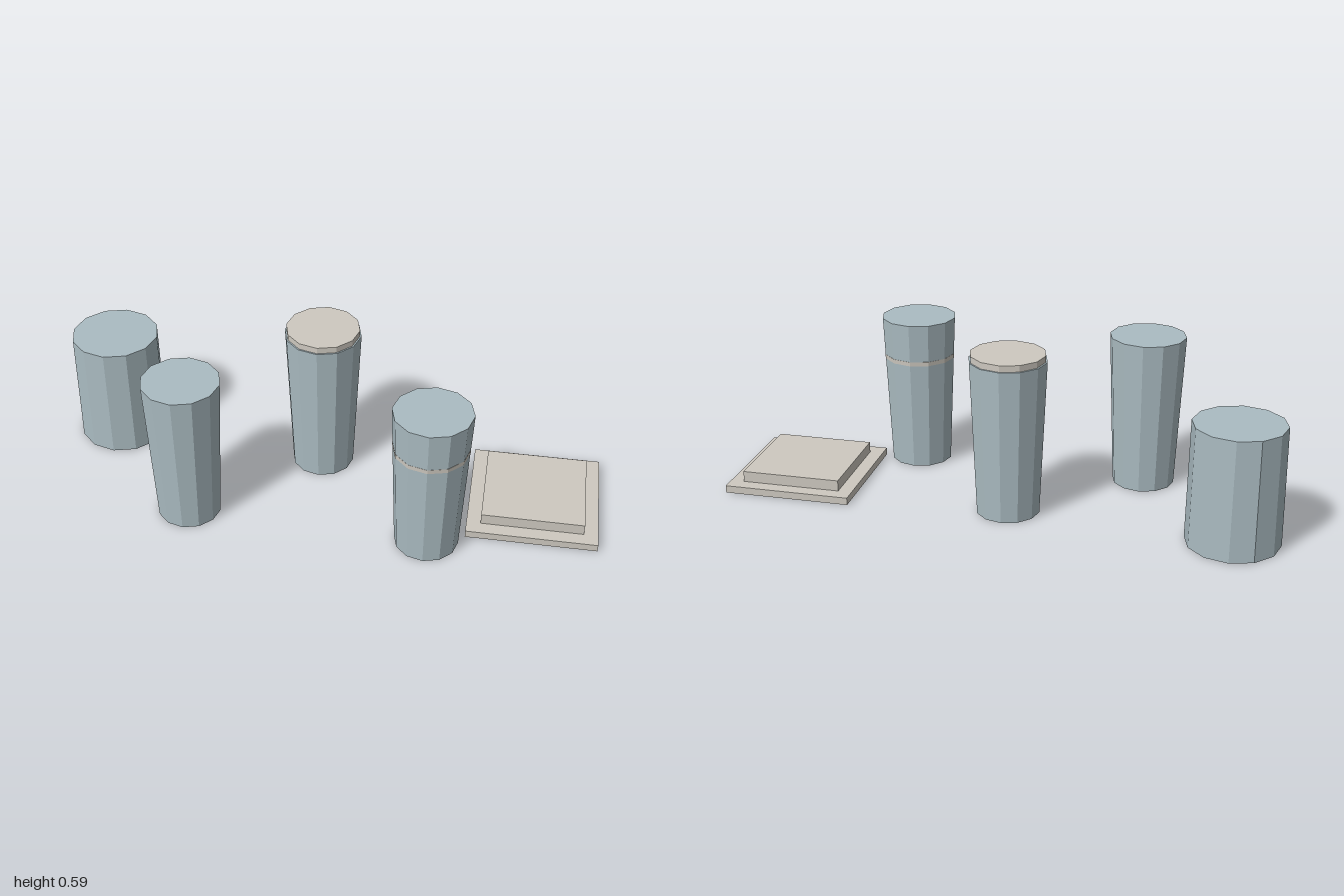
import * as THREE from 'three';

const SIDES = 12;

export function createModel() {
  const model = new THREE.Group();
  model.name = 'tumblerSet';

  const glass = new THREE.MeshStandardMaterial({ color: 0xabbcc2 });
  glass.name = 'blue grey glass';
  const stone = new THREE.MeshStandardMaterial({ color: 0xcec9c0 });
  stone.name = 'warm grey';
  glass.flatShading = stone.flatShading = true;

  // Tapered round part standing on y
  const round = (name, material, topR, bottomR, height, x, y, z) => {
    const mesh = new THREE.Mesh(new THREE.CylinderGeometry(topR, bottomR, height, SIDES), material);
    mesh.name = name;
    mesh.position.set(x, y + height / 2, z);
    model.add(mesh);
  };

  const slab = (name, width, height, y) => {
    const mesh = new THREE.Mesh(new THREE.BoxGeometry(width, height, width), stone);
    mesh.name = name;
    mesh.position.set(0.767, y + height / 2, -0.02);
    model.add(mesh);
  };

  // Short wide tumbler
  round('shortTumbler', glass, 0.16, 0.165, 0.433, -0.835, 0, -0.22);

  // Three tall tumblers
  const tall = [
    ['plainTumbler', -0.468, 0.213],
    ['liddedTumbler', -0.036, -0.153],
    ['bandedTumbler', 0.399, 0.247],
  ];
  for (const [name, x, z] of tall) round(name, glass, 0.1385, 0.114, 0.567, x, 0, z);

  // Lid on the middle tumbler and thin band round the right-hand one
  round('lid', stone, 0.133, 0.133, 0.023, -0.036, 0.567, -0.153);
  round('band', stone, 0.1331, 0.1324, 0.016, 0.399, 0.41, 0.247);

  // Stepped square tray
  slab('trayBase', 0.466, 0.027, 0);
  slab('trayTop', 0.365, 0.04, 0.027);

  return model;
}
